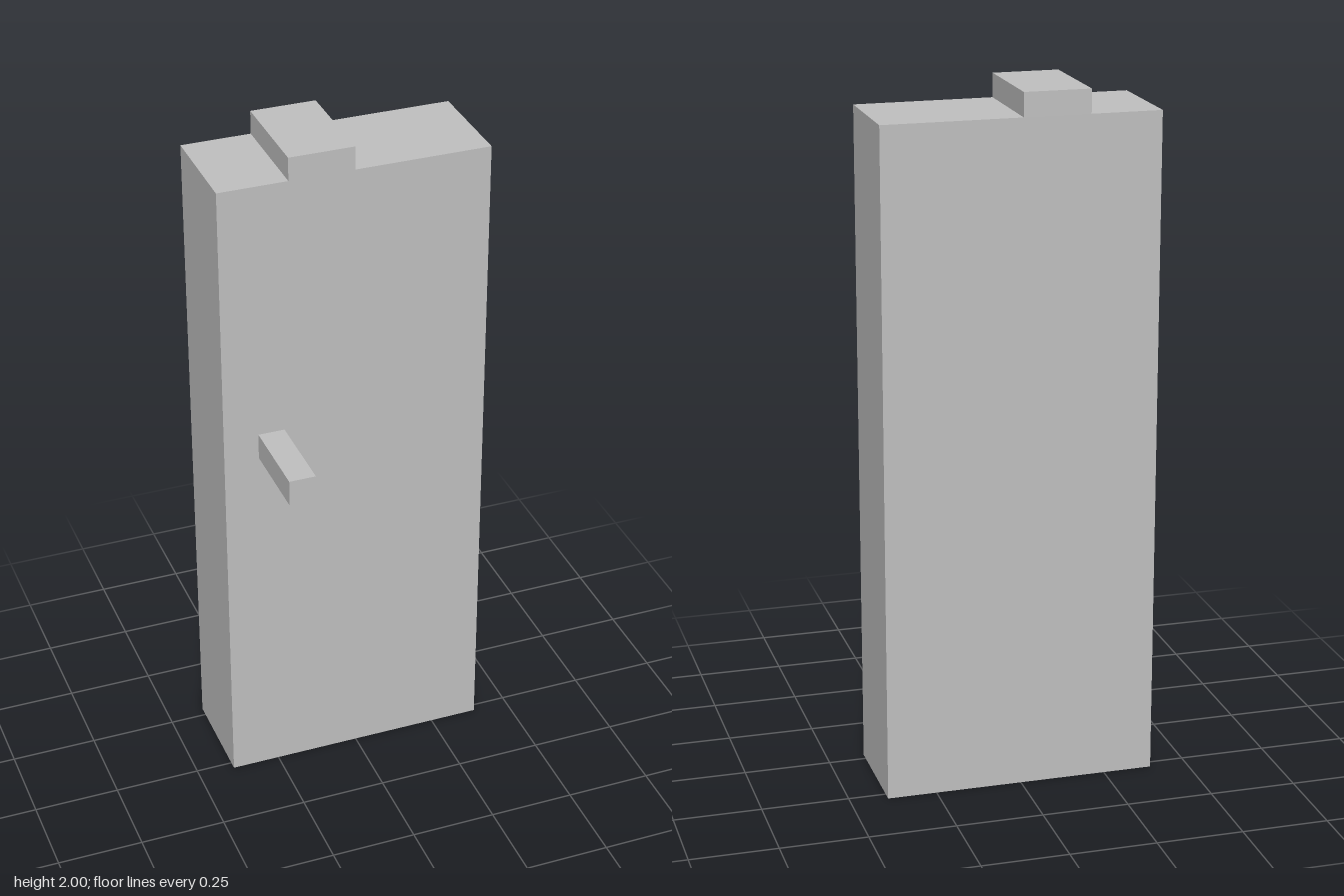
import * as THREE from 'three';

export function createModel() {
  const group = new THREE.Group();
  const grey = new THREE.MeshStandardMaterial({ color: 0xc0c0c0 });
  grey.name = 'lightGrey';

  // Slab with a raised tab on its top edge, as one stepped outline
  const half = 0.392, top = 1.932, back = -0.28, front = 0.025;
  const outline = new THREE.Shape([
    [-half, 0], [half, 0], [half, top], [-0.002, top],
    [-0.002, 2], [-0.191, 2], [-0.191, top], [-half, top],
  ].map(([x, y]) => new THREE.Vector2(x, y)));
  const slabGeometry = new THREE.ExtrudeGeometry(outline, { depth: front - back, bevelEnabled: false });
  slabGeometry.translate(0, 0, back);
  const slab = new THREE.Mesh(slabGeometry, grey);
  slab.name = 'slabWithTab';
  group.add(slab);

  // Square peg standing out from the front face
  const pegLength = 0.28 - front;
  const peg = new THREE.Mesh(new THREE.BoxGeometry(0.077, 0.077, pegLength), grey);
  peg.name = 'handlePeg';
  peg.position.set(-0.252, 1.125, front + pegLength / 2);
  group.add(peg);

  return group;
}
